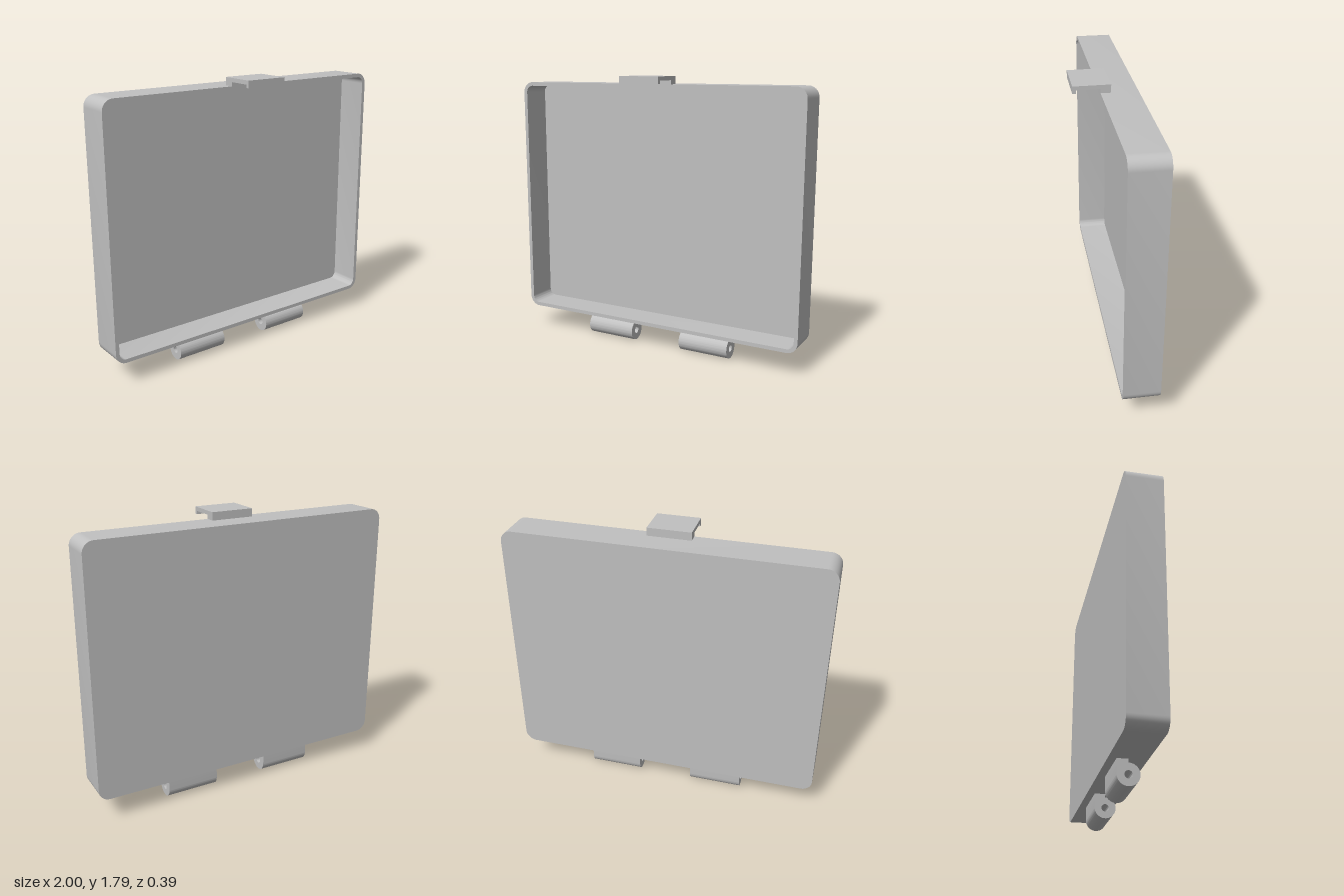
import * as THREE from 'three';
import { toCreasedNormals } from 'three/addons/utils/BufferGeometryUtils.js';

const TRAY_BOTTOM = 0.153, TRAY_TOP = 1.74;
const BACK = -0.193, FRONT = 0.03, WALL = 0.024;

// Rounded rectangle loop, anticlockwise seen from the front
function roundedLoop(inset, z) {
  const r = 0.07 - inset, cy = (TRAY_TOP + TRAY_BOTTOM) / 2, steps = 10;
  const w = 1 - inset - r, h = (TRAY_TOP - TRAY_BOTTOM) / 2 - inset - r;
  const corners = [[w, h], [-w, h], [-w, -h], [w, -h]];
  const points = [];
  corners.forEach(([x, y], k) => {
    for (let i = 0; i <= steps; i++) {
      const a = (k + i / steps) * Math.PI / 2;
      points.push([x + r * Math.cos(a), cy + y + r * Math.sin(a), z]);
    }
  });
  return points;
}

// Skin through the loops, closed with a flat cap at both ends
function loft(loops) {
  const pos = [], n = loops[0].length;
  const tri = (...corners) => corners.forEach(p => pos.push(...p));
  const centre = loop => [0, (TRAY_TOP + TRAY_BOTTOM) / 2, loop[0][2]];
  const first = loops[0], last = loops[loops.length - 1];
  for (let i = 0; i < n; i++) {
    const j = (i + 1) % n;
    tri(centre(first), first[j], first[i]);
    for (let k = 0; k < loops.length - 1; k++) {
      const a = loops[k], b = loops[k + 1];
      tri(a[i], a[j], b[j]);
      tri(a[i], b[j], b[i]);
    }
    tri(centre(last), last[i], last[j]);
  }
  const geometry = new THREE.BufferGeometry();
  geometry.setAttribute('position', new THREE.Float32BufferAttribute(pos, 3));
  return toCreasedNormals(geometry, 0.5);
}

// Side profile (z, y) extruded along x, centred on x = 0
function extrudeAcross(shape, width) {
  const geometry = new THREE.ExtrudeGeometry(shape, { depth: width, bevelEnabled: false, curveSegments: 40 });
  geometry.translate(0, 0, -width / 2).rotateY(-Math.PI / 2);
  return toCreasedNormals(geometry, 0.5);
}

export function createModel() {
  const model = new THREE.Group();
  model.name = 'hingedLid';
  const grey = new THREE.MeshStandardMaterial({ color: 0xc0c0c0 });
  grey.name = 'grey';

  const add = (name, geometry, x = 0) => {
    const mesh = new THREE.Mesh(geometry, grey);
    mesh.name = name;
    mesh.position.x = x;
    model.add(mesh);
  };

  // Shallow tray, open to the front
  add('tray', loft([
    roundedLoop(0, BACK), roundedLoop(0, FRONT),
    roundedLoop(WALL, FRONT), roundedLoop(WALL, BACK + WALL),
  ]));

  // Latch: raised foot, overhanging plate and a small hooked lip
  const latch = new THREE.Shape([
    [-0.032, TRAY_TOP], [FRONT, TRAY_TOP], [FRONT, 1.765], [0.172, 1.765],
    [0.172, 1.745], [0.193, 1.745], [0.193, 1.79], [-0.032, 1.79],
  ].map(([z, y]) => new THREE.Vector2(z, y)));
  add('latch', extrudeAcross(latch, 0.273));

  // Hinge knuckles: round barrel with pin hole and a web up to the tray
  const cz = -0.079, cy = 0.066, r = 0.066;
  const knuckle = new THREE.Shape();
  knuckle.moveTo(cz, TRAY_BOTTOM);
  knuckle.lineTo(cz - r, TRAY_BOTTOM);
  knuckle.lineTo(cz - r, cy);
  knuckle.absarc(cz, cy, r, Math.PI, Math.PI * 2.5, false);
  knuckle.closePath();
  const pinHole = new THREE.Path();
  pinHole.absarc(cz, cy, 0.023, 0, Math.PI * 2, true);
  knuckle.holes.push(pinHole);
  const hinge = extrudeAcross(knuckle, 0.342);
  add('leftHinge', hinge, 0.35);
  add('rightHinge', hinge, -0.35);

  return model;
}
